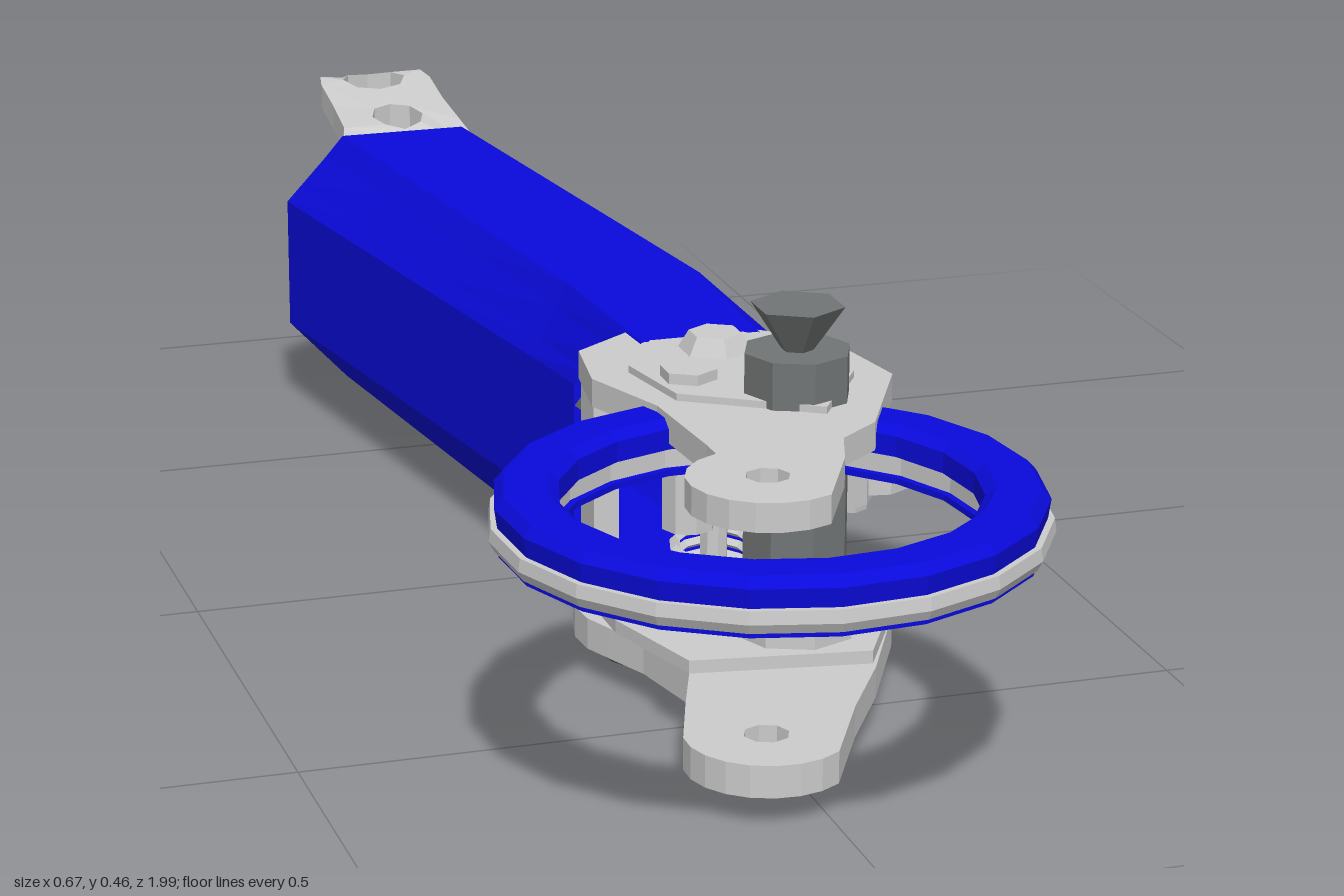
import * as THREE from 'three';

const mat = (color) => new THREE.MeshStandardMaterial({ color, flatShading: true, side: THREE.DoubleSide });

export function createModel() {
  const model = new THREE.Group();
  const grey = mat(0xcccccc), blue = mat(0x0a0adc), dark = mat(0x727575);

  const add = (name, geo, material = grey, x = 0, y = 0, z = 0) => {
    const mesh = new THREE.Mesh(geo, material);
    mesh.name = name;
    mesh.position.set(x, y, z);
    model.add(mesh);
    return mesh;
  };

  // Upright cylinder between two heights
  const post = (name, x, z, r, y0, y1, material = grey, sides = 8, rTop = r) =>
    add(name, new THREE.CylinderGeometry(rTop, r, y1 - y0, sides), material, x, (y0 + y1) / 2, z);

  // Horizontal plate from an x/z outline, with round or stretched holes [x, z, rx, rz]
  const plateGeo = (pts, y0, y1, holes = []) => {
    const shape = new THREE.Shape(pts.map(([x, z]) => new THREE.Vector2(x, -z)));
    for (const [x, z, rx, rz] of holes) {
      const hole = new THREE.Path();
      hole.absellipse(x, -z, rx, rz, 0, Math.PI * 2, true);
      shape.holes.push(hole);
    }
    return new THREE.ExtrudeGeometry(shape, { depth: y1 - y0, bevelEnabled: false, curveSegments: 4 })
      .rotateX(-Math.PI / 2).translate(0, y0, 0);
  };

  // Points on an arc in the x/z plane, angles in degrees from +x towards +z
  const arc = (cx, cz, r, a0, a1, n) => Array.from({ length: n + 1 }, (_, i) => {
    const a = THREE.MathUtils.degToRad(a0 + (a1 - a0) * i / n);
    return [cx + r * Math.cos(a), cz + r * Math.sin(a)];
  });

  // Tapered eight-sided sleeve, with window cells left open
  const stations = [-0.72, -0.53, -0.42, -0.26, 0.0, 0.12];
  const section = (z, last) => {
    const t = (z + 0.72) / 0.84;
    const c = -0.062 + 0.107 * t, w = 0.155 - 0.03 * t, f = 0.08;
    const lerpX = (k) => c + f + (w - f) * k;
    const lerpL = (k) => c - f - (w - f) * k;
    const tip = last ? 0.12 : 0;
    return [
      [c - f, 0.03, z], [lerpL(1), 0.11, z], [lerpL(1), 0.275, z], [lerpL(0.75), 0.295, z + tip * 0.25],
      [lerpL(0.3), 0.331, z + tip * 0.7], [c - f, 0.357, z + tip], [c + f - tip * 0.2, 0.357, z + tip],
      [lerpX(0.3), 0.331, z + tip * 0.7], [lerpX(0.75), 0.295, z + tip * 0.25], [lerpX(1), 0.275, z],
      [lerpX(1), 0.11, z], [lerpX(0.7), 0.086, z], [lerpX(0.4), 0.062, z], [c + f, 0.03, z],
    ];
  };
  const rows = stations.map((z, i) => section(z, i === stations.length - 1));
  const windows = new Set(['2,7', '2,11']);
  const verts = [];
  for (let i = 0; i < rows.length - 1; i++) {
    for (let j = 0; j < 14; j++) {
      if (windows.has(`${i},${j}`)) continue;
      const k = (j + 1) % 14;
      const a = rows[i][j], b = rows[i][k], c = rows[i + 1][k], d = rows[i + 1][j];
      verts.push(...a, ...d, ...c, ...a, ...c, ...b);
    }
  }
  const sleeve = new THREE.BufferGeometry();
  sleeve.setAttribute('position', new THREE.Float32BufferAttribute(verts, 3));
  sleeve.computeVertexNormals();
  add('sleeve', sleeve, blue);

  // Rear fork prongs: a slotted plate bent along its length, then mirrored below
  const prong = plateGeo([
    [-0.155, -0.66], [-0.145, -0.72], [-0.125, -0.78], [-0.12, -0.86],
    ...arc(-0.045, -0.925, 0.075, 180, 360, 8),
    [0.03, -0.86], [0.032, -0.78], [0.05, -0.72], [0.06, -0.66],
  ], -0.016, 0.016, [[-0.045, -0.935, 0.042, 0.036], [-0.045, -0.81, 0.034, 0.04]]);
  const bend = [[-0.66, 0.3], [-0.72, 0.305], [-0.78, 0.335], [-0.86, 0.345], [-0.95, 0.362], [-1.0, 0.345]];
  const lift = (z) => {
    const i = Math.max(1, bend.findIndex(([s], n) => n > 0 && z >= s - 1e-4));
    const [z0, y0] = bend[i - 1], [z1, y1] = bend[i];
    return y0 + (y1 - y0) * (z - z0) / (z1 - z0);
  };
  const pos = prong.attributes.position;
  for (let i = 0; i < pos.count; i++) pos.setY(i, pos.getY(i) + lift(pos.getZ(i)));
  prong.computeVertexNormals();
  add('upperProng', prong);
  const lower = add('lowerProng', prong, grey, 0, 0.385, 0);
  lower.scale.y = -1;

  // Frame joining the two prongs
  for (const x of [-0.125, 0.03]) add('forkUpright', new THREE.BoxGeometry(0.03, 0.23, 0.045), grey, x, 0.193, -0.69);
  for (const y of [0.1, 0.286]) add('forkCrossbar', new THREE.BoxGeometry(0.17, 0.025, 0.045), grey, -0.047, y, -0.69);

  // Lower swing plate with its pivot end and underside disc
  add('lowerPlate', plateGeo([
    ...arc(-0.045, 0.705, 0.088, 50, 190, 8), [-0.1, 0.6], [-0.07, 0.52], [-0.09, 0.42],
    ...arc(0, 0.3, 0.13, 150, 290, 8), [0.15, 0.25], [0.2, 0.33], [0.2, 0.42], [0.13, 0.56], [0.07, 0.66],
  ], 0.034, 0.07, [[-0.045, 0.705, 0.025, 0.025]]));
  add('lowerPlateStep', plateGeo([
    [-0.07, 0.52], [-0.11, 0.38], [-0.11, 0.26], [0.0, 0.19], [0.15, 0.25], [0.2, 0.33], [0.2, 0.42], [0.13, 0.55],
  ], 0.07, 0.085));
  post('undersideDisc', 0, 0.3, 0.11, 0.02, 0.034, dark, 16, 0.125);
  post('undersideHub', 0, 0.3, 0.03, 0.01, 0.02, dark, 10);

  // Upper swing plate
  add('upperPlate', plateGeo([
    ...arc(-0.045, 0.7, 0.086, 60, 250, 10), [-0.075, 0.59], [-0.085, 0.45],
    [-0.125, 0.34], [-0.11, 0.24], [-0.04, 0.19], [0.09, 0.21], [0.17, 0.28], [0.195, 0.42], [0.12, 0.57], [0.07, 0.61], [0.05, 0.67],
  ], 0.322, 0.354, [[-0.045, 0.7, 0.024, 0.024]]));
  add('upperPlateRib', plateGeo([
    [-0.06, 0.44], [-0.08, 0.33], [-0.03, 0.25], [0.08, 0.25], [0.14, 0.33], [0.15, 0.42], [0.08, 0.53],
  ], 0.354, 0.362));

  // Hand ring: broken where it meets the main post
  const ringPart = (name, profile, material) => {
    const pts = [...profile, profile[0]].map(([r, y]) => new THREE.Vector2(r, y));
    const geo = new THREE.LatheGeometry(pts, 18, THREE.MathUtils.degToRad(172), THREE.MathUtils.degToRad(330));
    add(name, geo, material, -0.042, 0, 0.7);
  };
  ringPart('ringTop', [[0.22, 0.315], [0.285, 0.315], [0.288, 0.336], [0.278, 0.347], [0.232, 0.347], [0.22, 0.338]], blue);
  ringPart('ringTread', [[0.23, 0.29], [0.288, 0.29], [0.294, 0.301], [0.292, 0.315], [0.23, 0.315]], grey);
  ringPart('ringBase', [[0.222, 0.284], [0.284, 0.284], [0.284, 0.291], [0.222, 0.291]], blue);

  // Main post with collar, flared knob and lower pin
  post('postCollar', 0.07, 0.46, 0.07, 0.085, 0.15);
  post('mainPost', 0.07, 0.46, 0.06, 0.15, 0.407, dark);
  post('postKnob', 0.07, 0.46, 0.018, 0.407, 0.457, dark, 6, 0.052);
  post('postPin', 0.07, 0.46, 0.011, 0, 0.04, dark, 6);

  // Spacer and pivot pin with its spring
  post('spacer', -0.03, 0.39, 0.03, 0.19, 0.33);
  post('spacerHead', -0.03, 0.39, 0.032, 0.354, 0.374, grey, 6);
  post('pivotPin', 0.03, 0.3, 0.016, 0.08, 0.37);
  post('pivotHead', 0.03, 0.3, 0.042, 0.362, 0.382, grey, 6, 0.03);
  for (let i = 0; i < 3; i++) {
    const coil = add('springCoil', new THREE.TorusGeometry(0.045, 0.006, 4, 12), grey, 0.03, 0.1 + i * 0.015, 0.3);
    coil.rotation.x = Math.PI / 2 + 0.12;
  }
  post('pivotCollar', 0.03, 0.3, 0.045, 0.235, 0.27);
  add('sideStrut', new THREE.BoxGeometry(0.03, 0.24, 0.05), grey, -0.073, 0.205, 0.2);

  // Side bracket with bolt and washer
  add('bracketArm', plateGeo([[0.0, 0.27], [0.08, 0.2], [0.19, 0.14], [0.27, 0.2], [0.22, 0.28], [0.1, 0.34]], 0.152, 0.23));
  add('bracketPad', plateGeo([
    [0.155, 0.21], ...arc(0.225, 0.195, 0.075, 190, 325, 6), [0.335, 0.23], [0.25, 0.278], [0.2, 0.27],
  ], 0.16, 0.217));
  post('bracketWasher', 0.23, 0.195, 0.05, 0.217, 0.228, grey, 12);
  post('bracketBolt', 0.23, 0.195, 0.028, 0.228, 0.25, grey, 6);
  post('bracketPin', 0.23, 0.195, 0.02, 0.118, 0.16, grey, 6, 0.024);

  return model;
}
